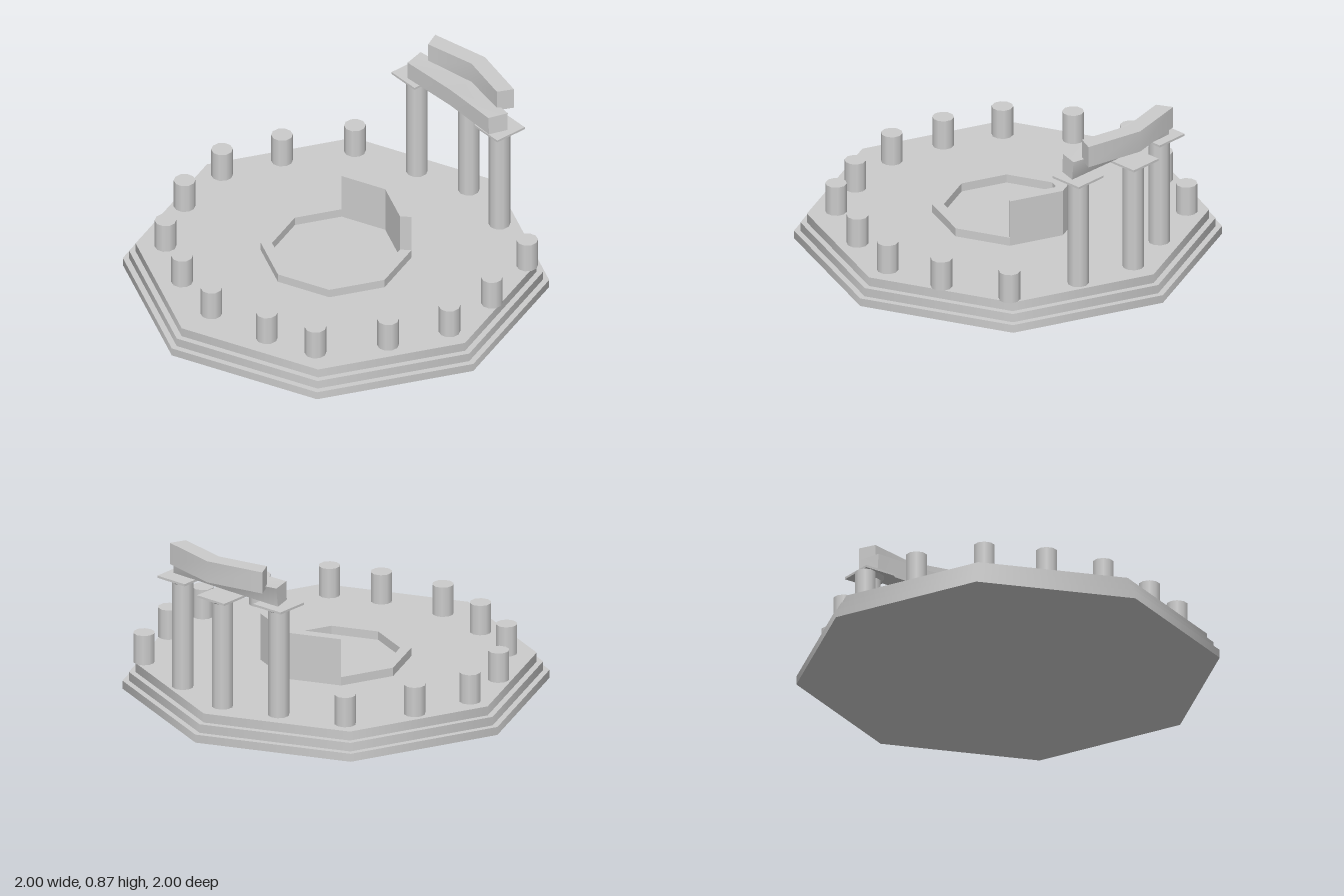
import * as THREE from 'three';
import { toCreasedNormals } from 'three/addons/utils/BufferGeometryUtils.js';

const material = new THREE.MeshStandardMaterial({ color: 0xcccccc });
const FLOOR = 0.128;

export function createModel() {
  const root = new THREE.Group();

  function add(name, geometry, x = 0, y = 0, z = 0) {
    const mesh = new THREE.Mesh(geometry, material);
    mesh.name = name;
    mesh.position.set(x, y, z);
    root.add(mesh);
    return mesh;
  }

  // Cylinder standing on y0 and reaching y1
  function drum(name, rTop, rBottom, y0, y1, sides, x = 0, z = 0) {
    const geometry = new THREE.CylinderGeometry(rTop, rBottom, y1 - y0, sides);
    return add(name, geometry, x, (y0 + y1) / 2, z);
  }

  // Stepped octagonal platform
  [1, 0.97, 0.94].forEach((r, i) => {
    drum('platformStep', r, r, [0, 0.04, 0.083][i], [0.04, 0.083, FLOOR][i], 8);
  });

  // Central octagonal kerb and the tall wall on its two rear sides
  const arc = (r, from, to) => {
    const points = [];
    for (let i = from; i <= to; i++) {
      points.push(new THREE.Vector2(r * Math.cos(i * Math.PI / 4), r * Math.sin(i * Math.PI / 4)));
    }
    return points;
  };
  const raise = (shape, height) =>
    new THREE.ExtrudeGeometry(shape, { depth: height, bevelEnabled: false }).rotateX(-Math.PI / 2);

  const kerb = new THREE.Shape(arc(0.354, 0, 7));
  kerb.holes.push(new THREE.Path(arc(0.3, 0, 7).reverse()));
  add('kerb', raise(kerb, 0.17 - FLOOR), 0, FLOOR, 0);

  const wall = new THREE.Shape([...arc(0.354, 1, 3), ...arc(0.3, 1, 3).reverse()]);
  add('rearWall', raise(wall, 0.19), 0, 0.17, 0);

  // Broken column stumps around the edge
  const stumps = [
    [-0.58, -0.6], [-0.74, -0.29], [-0.83, 0], [-0.75, 0.295], [-0.56, 0.57],
    [-0.29, 0.695], [-0.005, 0.755], [0.315, 0.685], [0.55, 0.585],
    [0.72, 0.285], [0.82, -0.005], [0.77, -0.305], [0.645, -0.625],
  ];
  for (const [x, z] of stumps) drum('columnStump', 0.051, 0.051, FLOOR, 0.275, 10, x, z);

  // Standing columns with flared capitals and square slabs
  for (const [x, z] of [[-0.27, -0.718], [0, -0.808], [0.303, -0.742]]) {
    drum('column', 0.051, 0.051, FLOOR, 0.665, 10, x, z);
    drum('capital', 0.07, 0.051, 0.655, 0.677, 10, x, z);
    add('capitalSlab', new THREE.BoxGeometry(0.168, 0.011, 0.168), x, 0.681, z);
  }

  // Bent beam lofted through four-cornered sections, listed from -x to +x.
  // Corners run: front bottom, front top, back top, back bottom.
  function beam(name, sections) {
    const positions = sections.flat(2);
    const index = [];
    const quad = (a, b, c, d) => index.push(a, b, c, a, c, d);
    for (let s = 0; s < sections.length - 1; s++) {
      for (let k = 0; k < 4; k++) {
        const n = (k + 1) % 4;
        quad(s * 4 + k, s * 4 + 4 + k, s * 4 + 4 + n, s * 4 + n);
      }
    }
    quad(0, 1, 2, 3);
    const e = (sections.length - 1) * 4;
    quad(e + 3, e + 2, e + 1, e);
    const geometry = new THREE.BufferGeometry();
    geometry.setAttribute('position', new THREE.Float32BufferAttribute(positions, 3));
    geometry.setIndex(index);
    add(name, toCreasedNormals(geometry, 0.6));
  }

  // Lower beam, resting on the slabs
  beam('lowerBeam', [
    [[-0.27, 0.687, -0.66], [-0.265, 0.778, -0.658], [-0.292, 0.778, -0.76], [-0.298, 0.687, -0.755]],
    [[0.03, 0.687, -0.672], [0.03, 0.778, -0.67], [0.03, 0.764, -0.8], [0.03, 0.687, -0.755]],
    [[0.325, 0.687, -0.66], [0.32, 0.778, -0.66], [0.348, 0.778, -0.755], [0.352, 0.687, -0.75]],
  ]);

  // Upper beam, set back on the lower one
  beam('upperBeam', [
    [[-0.22, 0.762, -0.745], [-0.22, 0.868, -0.745], [-0.258, 0.868, -0.82], [-0.258, 0.762, -0.82]],
    [[0.03, 0.762, -0.8], [0.03, 0.868, -0.8], [0.03, 0.868, -0.882], [0.03, 0.762, -0.882]],
    [[0.28, 0.762, -0.745], [0.28, 0.868, -0.745], [0.315, 0.868, -0.82], [0.315, 0.762, -0.82]],
  ]);

  return root;
}
